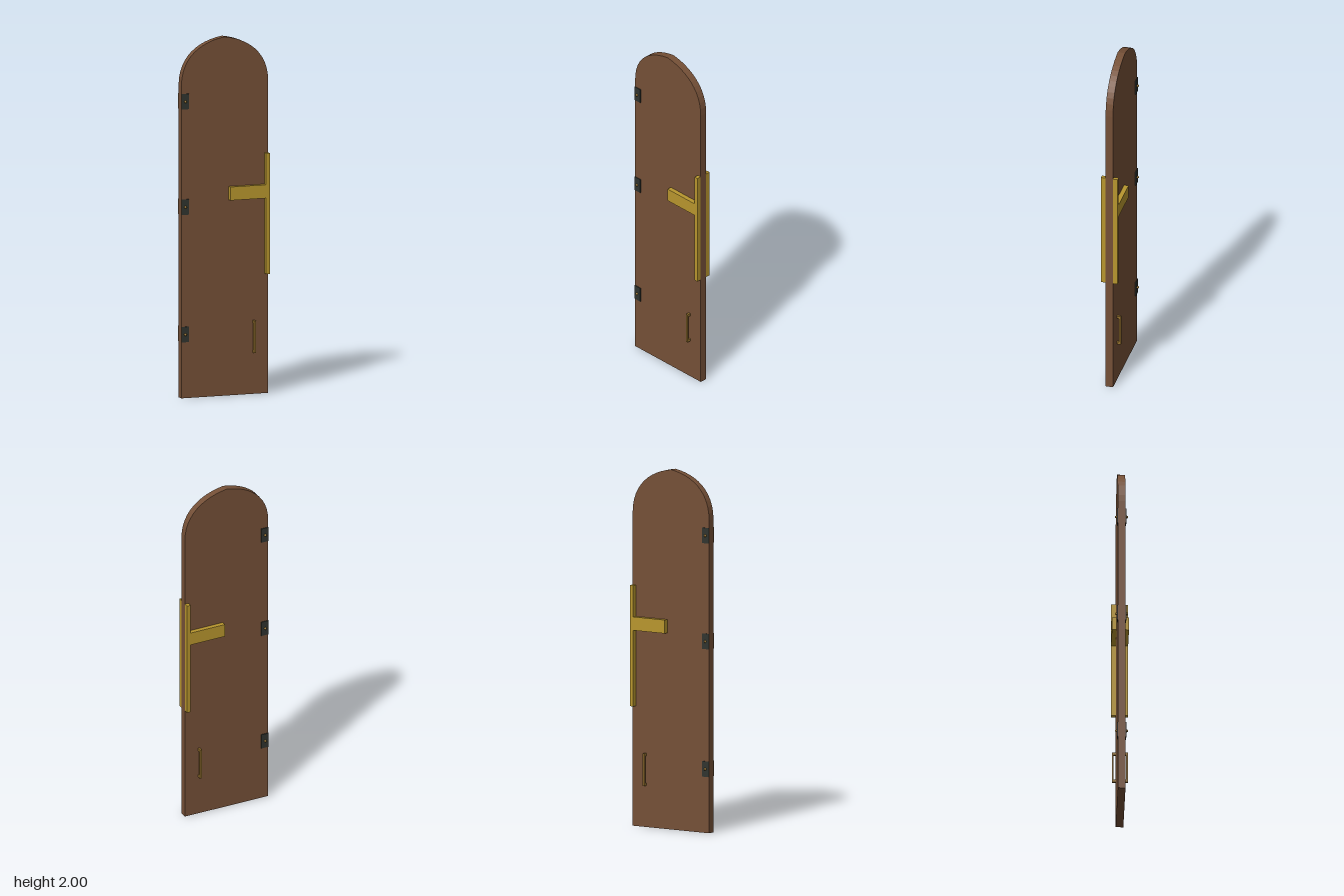
import * as THREE from 'three';

export function createModel() {
  const model = new THREE.Group();
  const mat = (name, color) => {
    const m = new THREE.MeshStandardMaterial({ color });
    m.name = name;
    return m;
  };
  const wood = mat('brown wood', 0x755037);
  const gold = mat('gold', 0xb8962e);
  const brass = mat('aged brass', 0x93702e);
  const iron = mat('dark iron', 0x30342f);

  const W = 0.257; // half width of the door
  const T = 0.021; // half thickness of the door

  const add = (parent, name, geometry, material, x = 0, y = 0, z = 0) => {
    const mesh = new THREE.Mesh(geometry, material);
    mesh.name = name;
    mesh.position.set(x, y, z);
    parent.add(mesh);
    return mesh;
  };
  // box given by its limits on each axis
  const block = (parent, name, material, x0, x1, y0, y1, z0, z1) =>
    add(parent, name, new THREE.BoxGeometry(x1 - x0, y1 - y0, z1 - z0), material,
      (x0 + x1) / 2, (y0 + y1) / 2, (z0 + z1) / 2);

  // door leaf with a slightly pointed arch
  const outline = new THREE.Shape();
  outline.moveTo(-W, 0);
  outline.lineTo(W, 0);
  outline.lineTo(W, 1.74);
  outline.bezierCurveTo(W, 1.9, 0.14, 1.98, 0, 2);
  outline.bezierCurveTo(-0.14, 1.98, -W, 1.9, -W, 1.74);
  outline.closePath();
  const leaf = new THREE.ExtrudeGeometry(outline, { depth: 2 * T, bevelEnabled: false, curveSegments: 12 });
  add(model, 'doorLeaf', leaf, wood, 0, 0, -T);

  // the same fittings on both faces
  for (const side of [1, -1]) {
    const face = new THREE.Group();
    face.name = side > 0 ? 'frontFittings' : 'backFittings';

    // gold edge strip and cross bar
    block(face, 'edgeStrip', gold, 0.235, W, 0.667, 1.34, T, 0.047);
    block(face, 'crossBar', gold, 0.023, 0.235, 1.09, 1.165, T, 0.047);

    // pull handle on two posts
    block(face, 'handleGrip', brass, 0.163, 0.176, 0.23, 0.41, 0.034, 0.044);
    for (const y of [0.23, 0.395])
      block(face, 'handlePost', brass, 0.163, 0.176, y, y + 0.015, T, 0.034);

    // hinge plates with a round stud
    for (const y of [0.355, 1.065, 1.653]) {
      block(face, 'hingePlate', iron, -0.258, -0.213, y - 0.043, y + 0.043, T, 0.0255);
      add(face, 'hingeStud', new THREE.SphereGeometry(0.0075, 12, 8), brass, -0.236, y, 0.029);
    }

    // mirror the fittings front to back, keeping the triangles facing out
    if (side < 0) for (const part of face.children) part.position.z *= -1;
    model.add(face);
  }

  return model;
}
